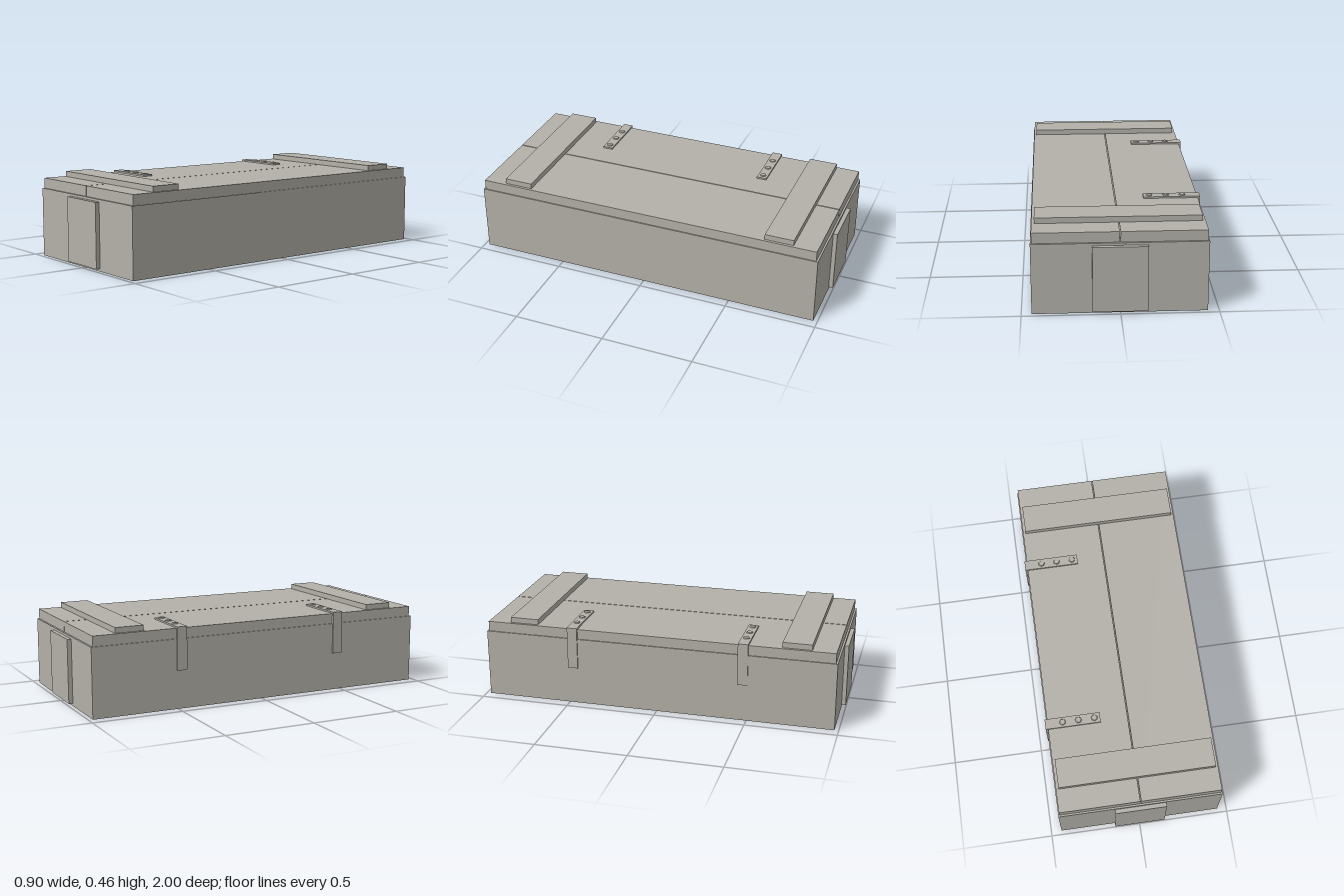
import * as THREE from 'three';

export function createModel() {
  const root = new THREE.Group();
  root.name = 'crate';
  const wood = new THREE.MeshStandardMaterial({ color: 0xb3b0a8 });
  wood.name = 'warm grey';

  const add = (parent, name, geometry, x, y, z) => {
    const mesh = new THREE.Mesh(geometry, wood);
    mesh.name = name;
    mesh.position.set(x, y, z);
    parent.add(mesh);
  };
  // Box given by its lower and upper limits on each axis
  const box = (parent, name, [x0, x1], [y0, y1], [z0, z1]) =>
    add(parent, name, new THREE.BoxGeometry(x1 - x0, y1 - y0, z1 - z0),
      (x0 + x1) / 2, (y0 + y1) / 2, (z0 + z1) / 2);

  // Body and the two lid planks with a narrow gap between them
  box(root, 'body', [-0.443, 0.448], [0, 0.377], [-0.977, 0.977]);
  box(root, 'rightLidPlank', [-0.437, 0.0], [0.377, 0.433], [-0.967, 0.967]);
  box(root, 'leftLidPlank', [0.005, 0.442], [0.377, 0.433], [-0.967, 0.967]);

  for (const [end, s] of [['front', 1], ['back', -1]]) {
    // Plate on the end wall and batten across the lid
    box(root, end + 'EndPlate', [-0.138, 0.142], [0.014, 0.364], s > 0 ? [0.97, 1] : [-1, -0.97]);
    const b = s * 0.76;
    box(root, end + 'Batten', [-0.422, 0.428], [0.429, 0.463], [b - 0.079, b + 0.079]);

    // Hinge: flat strap on the lid, leg down the side, three rivets
    const hinge = new THREE.Group();
    hinge.name = end + 'Hinge';
    hinge.position.z = s * 0.476;
    root.add(hinge);
    box(hinge, 'hingeStrap', [-0.45, -0.148], [0.431, 0.442], [-0.028, 0.028]);
    box(hinge, 'hingeLeg', [-0.45, -0.437], [0.208, 0.432], [-0.028, 0.028]);
    for (const x of [-0.355, -0.268, -0.18]) {
      add(hinge, 'rivet', new THREE.CylinderGeometry(0.015, 0.019, 0.008, 10), x, 0.443, 0);
    }
  }
  return root;
}
